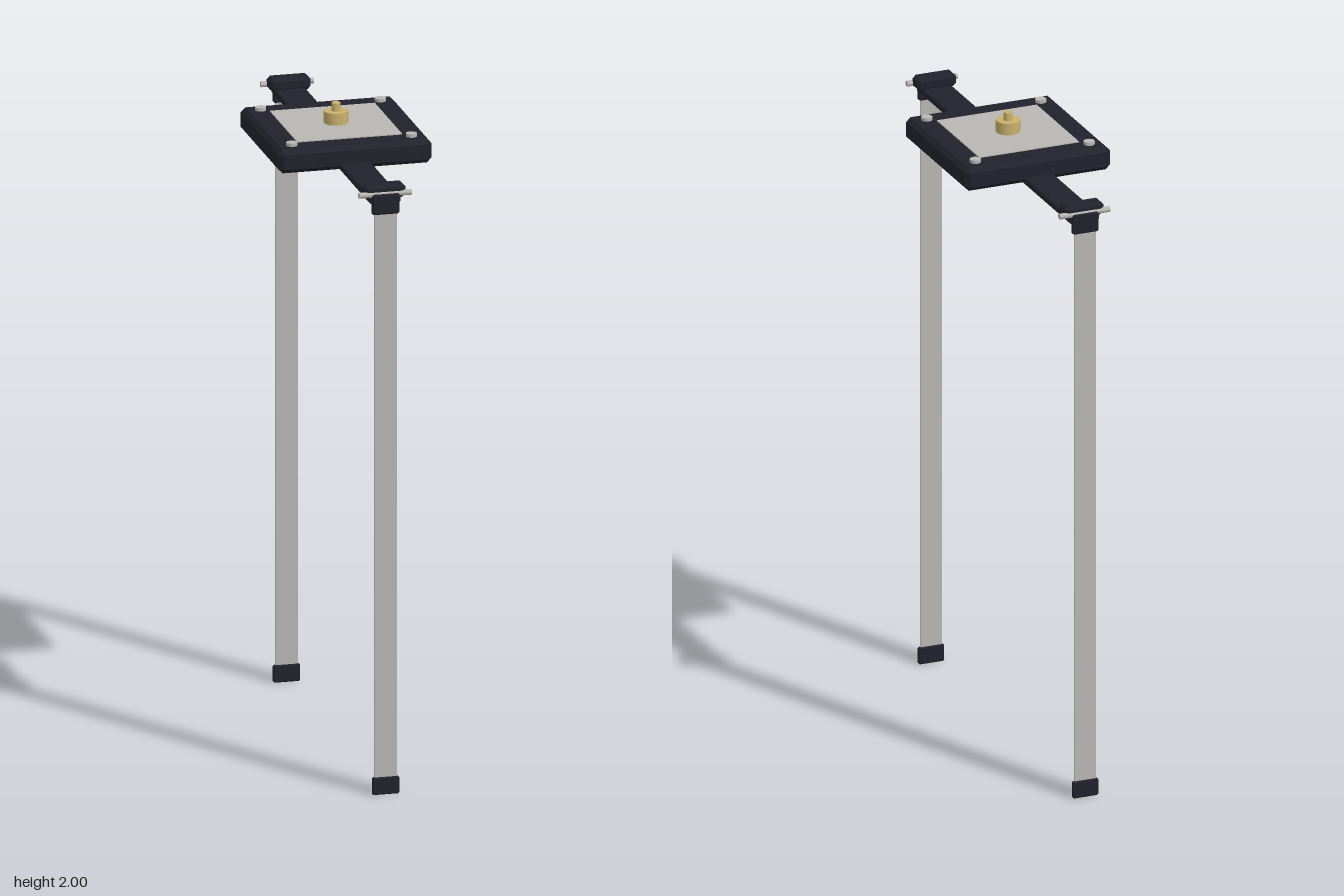
import * as THREE from 'three';
import { ConvexGeometry } from 'three/addons/geometries/ConvexGeometry.js';

const dark = new THREE.MeshStandardMaterial({ color: 0x22222d });
dark.name = 'dark plastic';
const silver = new THREE.MeshStandardMaterial({ color: 0xb8b6b3 });
silver.name = 'silver metal';
const brass = new THREE.MeshStandardMaterial({ color: 0xc9b06c });
brass.name = 'brass';

// Box with every edge cut at 45 degrees
function chamferBox(w, h, d, b) {
  const points = [];
  for (const sx of [-1, 1]) for (const sy of [-1, 1]) for (const sz of [-1, 1]) {
    const x = w / 2, y = h / 2, z = d / 2;
    points.push(
      new THREE.Vector3(sx * x, sy * (y - b), sz * (z - b)),
      new THREE.Vector3(sx * (x - b), sy * y, sz * (z - b)),
      new THREE.Vector3(sx * (x - b), sy * (y - b), sz * z));
  }
  return new ConvexGeometry(points);
}

function add(parent, name, geometry, material, x, y, z) {
  const mesh = new THREE.Mesh(geometry, material);
  mesh.name = name;
  mesh.position.set(x, y, z);
  parent.add(mesh);
  return mesh;
}

export function createModel() {
  const model = new THREE.Group();
  model.name = 'strapMount';

  // Square housing with inlaid metal plate
  add(model, 'housing', chamferBox(0.476, 0.074, 0.476, 0.014), dark, 0, 1.898, 0);
  add(model, 'topPlate', new THREE.BoxGeometry(0.326, 0.008, 0.326), silver, 0, 1.934, 0);

  // Corner screws
  for (const x of [-1, 1]) for (const z of [-1, 1]) {
    add(model, 'screw', new THREE.CylinderGeometry(0.017, 0.017, 0.014, 16), silver, x * 0.186, 1.938, z * 0.186);
  }

  // Brass connector
  add(model, 'connectorBase', new THREE.CylinderGeometry(0.037, 0.037, 0.04, 32), brass, 0, 1.955, 0);
  add(model, 'connectorTip', new THREE.CylinderGeometry(0.014, 0.014, 0.028, 24), brass, 0, 1.986, 0);

  // Cross bar running under the housing
  add(model, 'crossBar', chamferBox(0.096, 0.022, 1.18, 0.004), dark, 0, 1.869, 0);

  // Hinge and hanging strap at each end
  for (const s of [1, -1]) {
    const end = new THREE.Group();
    end.name = s > 0 ? 'frontStrap' : 'backStrap';
    add(end, 'hingeBlock', chamferBox(0.128, 0.042, 0.052, 0.01), dark, 0, 1.894, s * 0.566);
    const pin = add(end, 'hingePin', new THREE.CylinderGeometry(0.009, 0.009, 0.164, 16), silver, 0, 1.888, s * 0.587);
    pin.rotation.z = Math.PI / 2;
    add(end, 'upperClamp', chamferBox(0.084, 0.064, 0.017, 0.004), dark, 0, 1.858, s * 0.5915);
    add(end, 'strap', new THREE.BoxGeometry(0.07, 1.82, 0.006), silver, 0, 0.94, s * 0.592);
    add(end, 'endCap', chamferBox(0.084, 0.055, 0.014, 0.004), dark, 0, 0.0275, s * 0.592);
    model.add(end);
  }
  return model;
}
